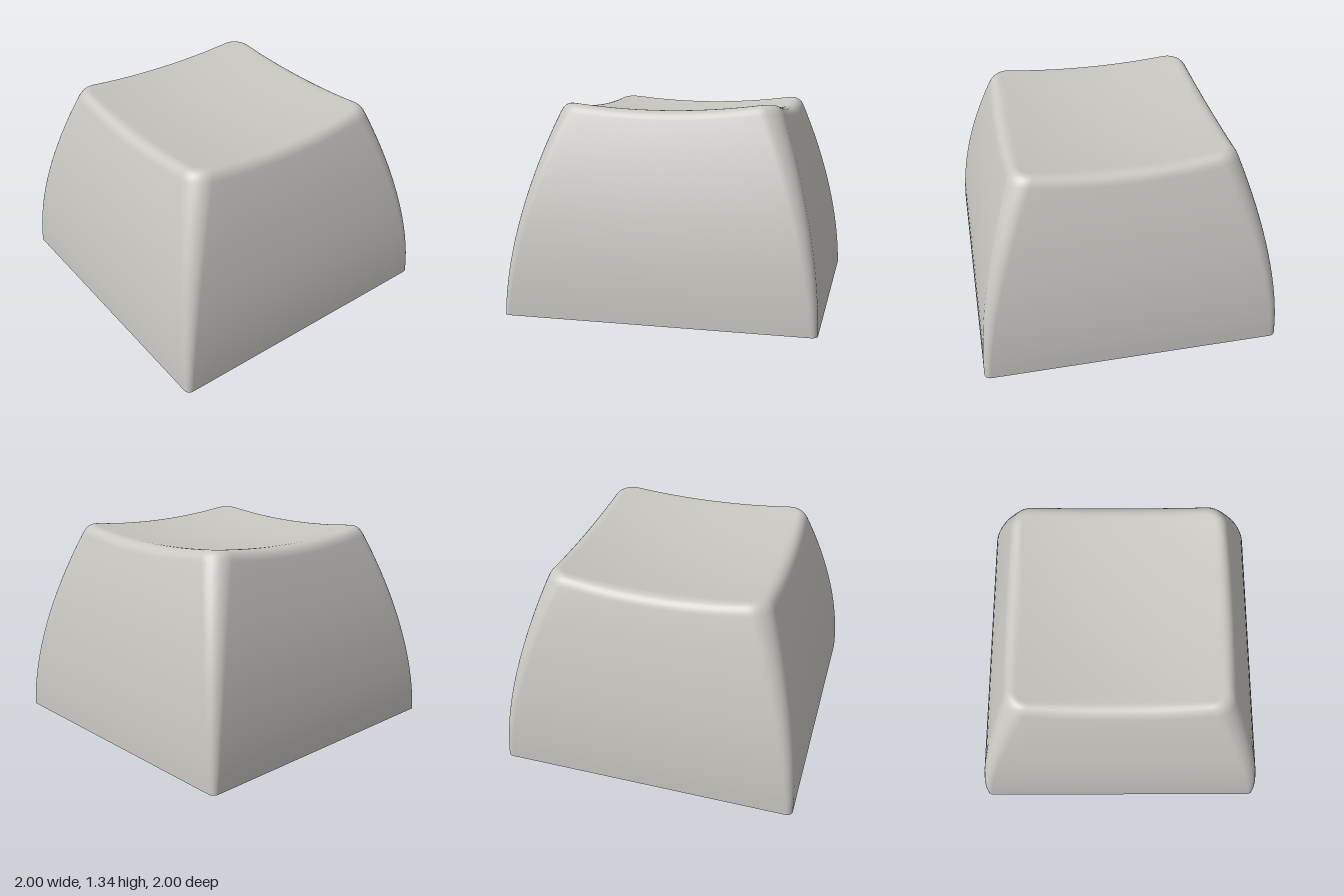
import * as THREE from 'three';

const ARC = 8, FLAT = 12;      // segments per corner and per straight edge
const STEM_R = 0.295, CAVITY_TOP = 1.1, SLOT_DEPTH = 0.4;

// Rounded square outline as [x, z] pairs, always with the same point count
function outline(half, radius) {
  const pts = [], c = half - radius;
  for (let k = 0; k < 4; k++) {
    const a0 = k * Math.PI / 2;
    const turn = (x, z) => [x * Math.cos(a0) - z * Math.sin(a0), x * Math.sin(a0) + z * Math.cos(a0)];
    for (let i = 0; i < FLAT; i++) pts.push(turn(half, c * (2 * i / FLAT - 1)));
    for (let i = 0; i < ARC; i++) {
      const a = i / ARC * Math.PI / 2;
      pts.push(turn(c + radius * Math.cos(a), c + radius * Math.sin(a)));
    }
  }
  return pts;
}

const dish = (x, z) => 1.26 + 0.105 * (x * x + z * z);
const halfAt = y => 1 - 0.275 * Math.pow(y / 1.3, 1.8);
const radiusAt = y => 0.04 + 0.09 * y / 1.3;
const wallPoint = (i, y) => {
  const [x, z] = outline(halfAt(y), radiusAt(y))[i];
  return new THREE.Vector3(x, y, z);
};

// Curved walls, rounded upper edge and scooped top as one smooth skin
function outerSkin() {
  const n = 4 * (ARC + FLAT), loops = [];
  const edge = outline(0.72, 0.13), inner = outline(0.645, 0.07);
  const columns = edge.map(([ex, ez], i) => {
    const top = dish(ex, ez);
    const [ix, iz] = inner[i];
    const fillet = new THREE.QuadraticBezierCurve3(
      wallPoint(i, top - 0.07), wallPoint(i, top), new THREE.Vector3(ix, dish(ix, iz), iz));
    const column = [];
    for (let k = 0; k < 16; k++) column.push(wallPoint(i, (top - 0.07) * k / 16));
    column.push(...fillet.getPoints(7));
    for (let k = 11; k >= 0; k--) {
      const x = ix * k / 12, z = iz * k / 12;
      column.push(new THREE.Vector3(x, dish(x, z), z));
    }
    return column;
  });
  const rows = columns[0].length, index = [];
  for (let r = 0; r < rows; r++) {
    for (let i = 0; i < n; i++) {
      loops.push(...columns[i][r].toArray());
      if (r === rows - 1) continue;
      const a = r * n + i, b = r * n + (i + 1) % n;
      index.push(a, a + n, b);
      if (r < rows - 2) index.push(a + n, b + n, b);
    }
  }
  const g = new THREE.BufferGeometry();
  g.setAttribute('position', new THREE.Float32BufferAttribute(loops, 3));
  g.setIndex(index);
  g.computeVertexNormals();
  return g;
}

// Flat bottom rim between the outer outline and the cavity opening
function bottomRim(open) {
  const shape = new THREE.Shape(outline(1, 0.04).map(p => new THREE.Vector2(...p)));
  shape.holes.push(new THREE.Path([[-1, -1], [-1, 1], [1, 1], [1, -1]]
    .map(([x, y]) => new THREE.Vector2(x * open, y * open))));
  return new THREE.ShapeGeometry(shape).rotateX(Math.PI / 2);
}

// Four tapering inner walls, turned inside out
function cavityWalls(open, top) {
  const g = new THREE.CylinderGeometry(top * Math.SQRT2, open * Math.SQRT2, CAVITY_TOP, 4, 1, true)
    .rotateY(Math.PI / 4).translate(0, CAVITY_TOP / 2, 0).scale(-1, 1, 1).toNonIndexed();
  g.computeVertexNormals();
  return g;
}

// Round post, optionally with a cross-shaped slot
function post(from, to, slotted) {
  const shape = new THREE.Shape().absarc(0, 0, STEM_R, 0, Math.PI * 2, false);
  if (slotted) {
    const w = 0.066, l = 0.228, pts = [];
    for (let k = 0; k < 4; k++) {
      for (const [x, y] of [[l, -w], [l, w], [w, w]]) {
        pts.push(new THREE.Vector2(x, y).rotateAround(new THREE.Vector2(), k * Math.PI / 2));
      }
    }
    shape.holes.push(new THREE.Path(pts.reverse()));
  }
  return new THREE.ExtrudeGeometry(shape, { depth: to - from, bevelEnabled: false, curveSegments: 16 })
    .rotateX(-Math.PI / 2).translate(0, from, 0);
}

export function createModel() {
  const plastic = new THREE.MeshStandardMaterial({ color: 0xc8c6c1 });
  plastic.name = 'warm grey plastic';
  const group = new THREE.Group();
  group.name = 'keycap';
  const add = (name, geometry) => {
    const mesh = new THREE.Mesh(geometry, plastic);
    mesh.name = name;
    group.add(mesh);
  };

  const open = 0.87, ceiling = 0.62;
  add('outerShell', outerSkin());
  add('bottomRim', bottomRim(open));
  add('cavityWalls', cavityWalls(open, ceiling));
  add('cavityCeiling', new THREE.PlaneGeometry(2 * ceiling, 2 * ceiling)
    .rotateX(Math.PI / 2).translate(0, CAVITY_TOP, 0));
  add('stemSocket', post(0, SLOT_DEPTH, true));
  add('stemBase', post(SLOT_DEPTH, CAVITY_TOP, false));
  return group;
}
